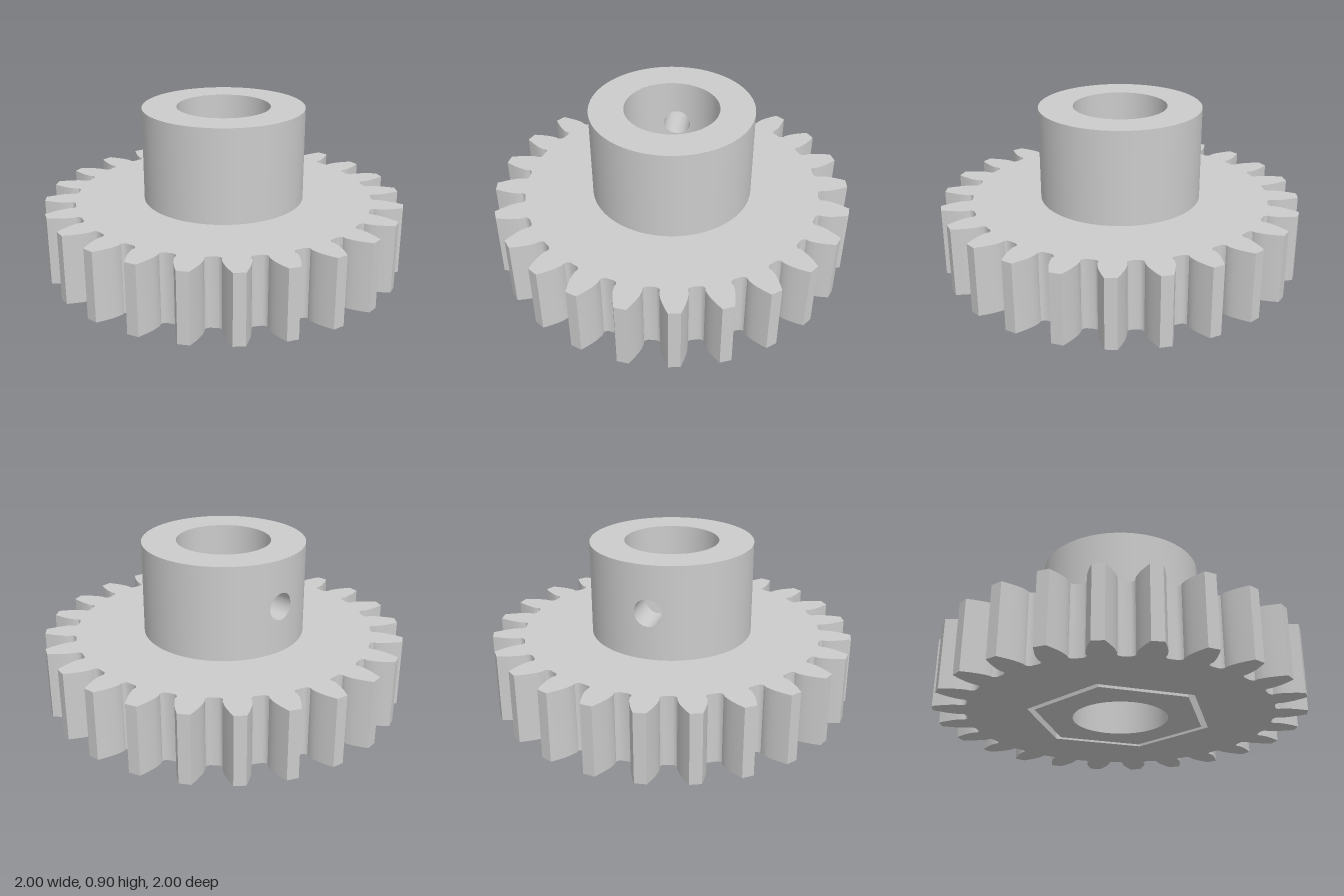
import * as THREE from 'three';
import { toCreasedNormals } from 'three/addons/utils/BufferGeometryUtils.js';
import { ParametricGeometry } from 'three/addons/geometries/ParametricGeometry.js';

const TEETH = 24, GEAR_H = 0.385, TOP = 0.905;
const HUB_R = 0.45, BORE_R = 0.26;
const HEX_OUT = 0.515, HEX_IN = 0.475, GROOVE_D = 0.2;
const HOLE_R = 0.075, HUB_H = TOP - GEAR_H, HUB_MID = (TOP + GEAR_H) / 2;

const outside = new THREE.MeshStandardMaterial({ color: 0xcccccc });
const inside = new THREE.MeshStandardMaterial({ color: 0xcccccc, side: THREE.BackSide });

// Half of a tooth gap: [half width, distance from the axis], root to tip
const FLANK = [
  [0.022, 0.832], [0.036, 0.838], [0.044, 0.85], [0.042, 0.868],
  [0.05, 0.9], [0.061, 0.928], [0.078, 0.962], [0.1, 1.0],
];

function gearShape() {
  const gap = [...FLANK.map(([w, r]) => [-w, r]).reverse(), ...FLANK];
  const points = [];
  for (let i = 0; i < TEETH; i++) {
    const a = (i / TEETH) * Math.PI * 2, c = Math.cos(a), s = Math.sin(a);
    for (const [w, r] of gap) points.push(new THREE.Vector2(c * r - s * w, s * r + c * w));
  }
  return new THREE.Shape(points);
}

function hexPoints(r) {
  return Array.from({ length: 6 }, (_, i) =>
    new THREE.Vector2(r * Math.cos(i * Math.PI / 3), r * Math.sin(i * Math.PI / 3)));
}

// Upright prism with a hole, from y0 to y1
function prism(shape, hole, y0, y1) {
  shape.holes.push(hole);
  const geo = new THREE.ExtrudeGeometry(shape, { depth: y1 - y0, bevelEnabled: false, curveSegments: 96 });
  geo.rotateX(-Math.PI / 2).translate(0, y0, 0);
  return toCreasedNormals(geo, 0.6);
}

const boreHole = () => new THREE.Path().absarc(0, 0, BORE_R, 0, Math.PI * 2, true);

// Point on the -x side of a cylinder of radius r
const onWall = (r, z, y, out) => out.set(-Math.sqrt(Math.max(0, r * r - z * z)), y, z);

// Cylinder wall patch of half width a, pierced by the screw hole
function piercedPatch(r, a, turn) {
  return new ParametricGeometry((u, v, out) => {
    const t = turn * u * Math.PI * 2, c = Math.cos(t), s = Math.sin(t);
    const m = Math.max(Math.abs(c), Math.abs(s));
    const z = THREE.MathUtils.lerp(HOLE_R * c, a * c / m, v);
    const y = THREE.MathUtils.lerp(HOLE_R * s, HUB_H / 2 * s / m, v);
    onWall(r, z, HUB_MID + y, out);
  }, 64, 12);
}

// The rest of that cylinder wall
function restOfWall(r, a) {
  const h = Math.asin(a / r);
  return new THREE.CylinderGeometry(r, r, HUB_H, 96, 1, true, 1.5 * Math.PI + h, 2 * Math.PI - 2 * h)
    .translate(0, HUB_MID, 0);
}

export function createModel() {
  const model = new THREE.Group();
  model.name = 'spurGear';
  const add = (parent, name, geo, mat = outside) => {
    const mesh = new THREE.Mesh(geo, mat);
    mesh.name = name;
    parent.add(mesh);
  };

  // Toothed wheel, with a hexagonal groove left open underneath
  add(model, 'toothedWheel', prism(gearShape(), new THREE.Path(hexPoints(HEX_OUT)), 0, GEAR_H));
  add(model, 'wheelCentre', prism(new THREE.Shape(hexPoints(HEX_OUT)), boreHole(), GROOVE_D, GEAR_H));
  add(model, 'hexagonalCore', prism(new THREE.Shape(hexPoints(HEX_IN)), boreHole(), 0, GROOVE_D));

  // Hub with bore and one set screw hole
  const hub = new THREE.Group();
  hub.name = 'hub';
  model.add(hub);
  add(hub, 'hubWall', restOfWall(HUB_R, 0.26));
  add(hub, 'hubWallAroundHole', piercedPatch(HUB_R, 0.26, -1));
  add(hub, 'boreWall', restOfWall(BORE_R, 0.2), inside);
  add(hub, 'boreWallAroundHole', piercedPatch(BORE_R, 0.2, 1));
  add(hub, 'hubTop', new THREE.RingGeometry(BORE_R, HUB_R, 96).rotateX(-Math.PI / 2).translate(0, TOP, 0));
  add(hub, 'setScrewHole', new ParametricGeometry((u, v, out) => {
    const t = -u * Math.PI * 2;
    onWall(THREE.MathUtils.lerp(BORE_R, HUB_R, v), HOLE_R * Math.cos(t), HUB_MID + HOLE_R * Math.sin(t), out);
  }, 64, 2));

  return model;
}
